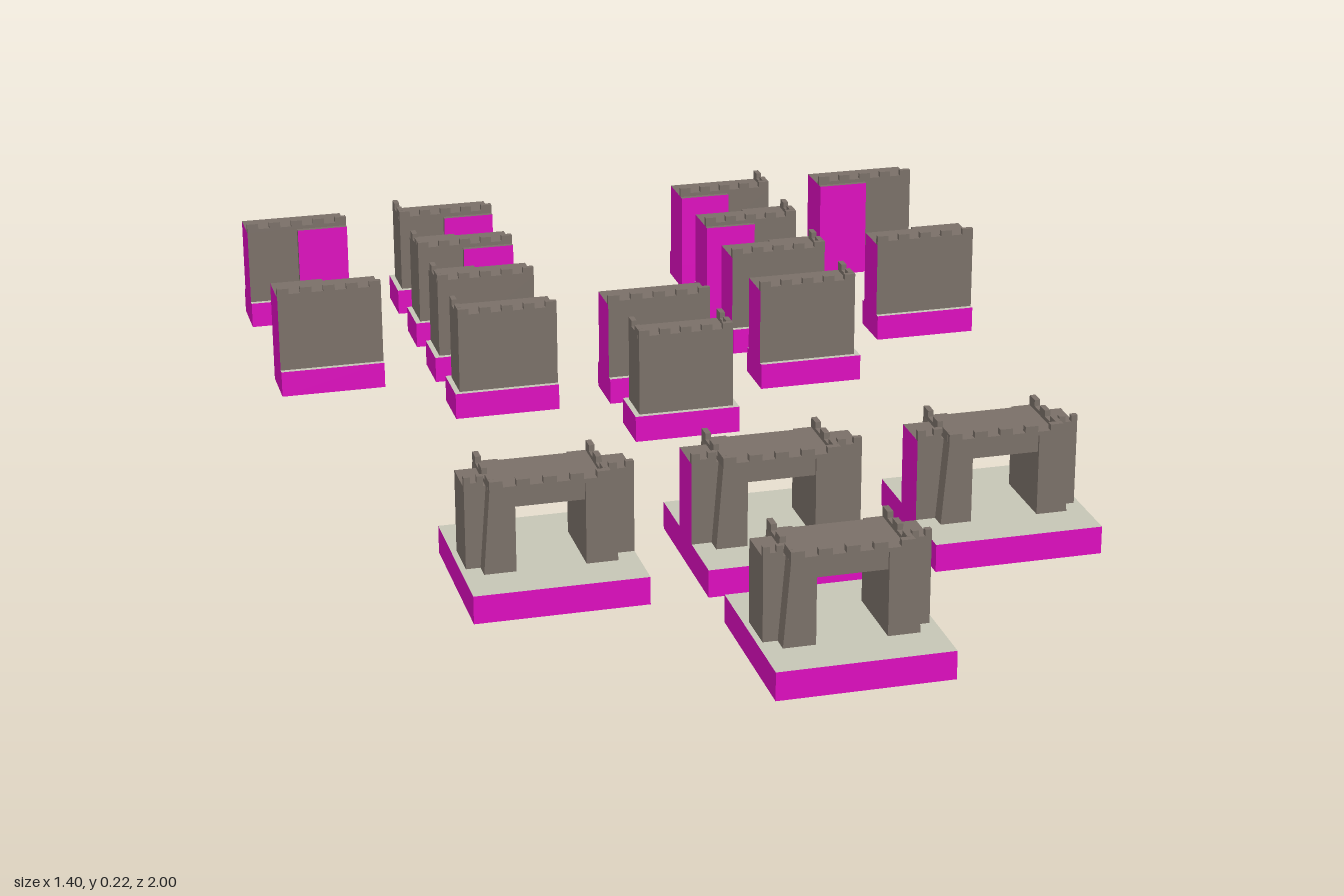
import * as THREE from 'three';

const mat = (name, color) => {
  const m = new THREE.MeshStandardMaterial({ color });
  m.name = name;
  return m;
};

export function createModel() {
  const stone = mat('stone', 0x7a7068);
  const ground = mat('ground', 0xc6c6b6);
  const joint = mat('joint', 0xdc0cbe);
  const root = new THREE.Group();
  root.name = 'castleWallSet';

  const BASE = 0.05, WALK = 0.197, SILL = 0.204, TOP = 0.215;

  // Box given by its limits; faces lists the sides painted as joints (px, nx, pz, nz)
  const SIDES = ['px', 'nx', 'py', 'ny', 'pz', 'nz'];
  function block(parent, name, [x0, x1], [y0, y1], [z0, z1], joints = []) {
    const geo = new THREE.BoxGeometry(x1 - x0, y1 - y0, z1 - z0);
    const mats = joints.length ? SIDES.map(s => (joints.includes(s) ? joint : stone)) : stone;
    const mesh = new THREE.Mesh(geo, mats);
    mesh.name = name;
    mesh.position.set((x0 + x1) / 2, (y0 + y1) / 2, (z0 + z1) / 2);
    parent.add(mesh);
    return mesh;
  }

  // Foundation: pale on top, joint colour on the sides and bottom
  function foundation(parent, w, d) {
    const mesh = new THREE.Mesh(new THREE.BoxGeometry(w, BASE, d),
      [joint, joint, ground, joint, joint, joint]);
    mesh.name = 'foundation';
    mesh.position.y = BASE / 2;
    parent.add(mesh);
  }

  // Thin parapet with merlons, running along x or z
  function parapet(parent, xr, zr, count) {
    block(parent, 'parapet', xr, [WALK, SILL], zr);
    const alongX = xr[1] - xr[0] > zr[1] - zr[0];
    const [a, b] = alongX ? xr : zr;
    const step = (b - a) / (2 * count - 1);
    for (let i = 0; i < count; i++) {
      const r = [a + 2 * i * step, a + (2 * i + 1) * step];
      block(parent, 'merlon', alongX ? r : xr, [SILL, TOP], alongX ? zr : r);
    }
  }

  // Wall piece: l / r ends joined to a neighbour, front / back spurs on a half (-1, 1 or 0)
  function wall(x, z, { l = false, r = false, front = 0, back = 0 }) {
    const g = new THREE.Group();
    g.name = 'wallPiece';
    g.position.set(x, 0, z);
    foundation(g, 0.2, 0.1);
    const x0 = l ? -0.1 : -0.09, x1 = r ? 0.1 : 0.09;
    const ends = [...(l ? ['nx'] : []), ...(r ? ['px'] : [])];
    block(g, 'wallBody', [x0, x1], [BASE, WALK], [-0.04, 0.04], ends);
    const half = s => (s < 0 ? [x0, 0] : [0, x1]);
    const spurEnds = s => ends.filter(e => e === (s < 0 ? 'nx' : 'px'));
    if (front) block(g, 'frontSpur', half(front), [BASE, WALK], [0.04, 0.05], ['pz', ...spurEnds(front)]);
    if (back) block(g, 'backSpur', half(back), [BASE, WALK], [-0.05, -0.04], ['nz', ...spurEnds(back)]);
    parapet(g, [x0, x1], [0.03, 0.04], 5);
    if (!l) parapet(g, [x0, x0 + 0.01], [-0.04, 0.028], 2);
    if (!r) parapet(g, [x1 - 0.01, x1], [-0.04, 0.028], 2);
    root.add(g);
  }

  // Gatehouse on a square foundation
  function gate(x, z, l, r) {
    const g = new THREE.Group();
    g.name = 'gatehouse';
    g.position.set(x, 0, z);
    foundation(g, 0.3, 0.3);
    for (const s of [-1, 1]) {
      const joined = s < 0 ? l : r;
      const end = joined ? 0.15 : 0.14;
      const span = (a, b) => (s < 0 ? [-b, -a] : [a, b]);
      // Side wing
      block(g, 'sideWing', span(0.095, end), [BASE, WALK], [-0.04, 0.04],
        joined ? [s < 0 ? 'nx' : 'px'] : []);
      parapet(g, span(0.107, end), [0.03, 0.04], 2);
      // Door pillar, leaning inwards on its outer side
      const pillar = block(g, 'doorPillar', span(0.06, 0.115), [BASE, WALK], [-0.07, 0.07]);
      const p = pillar.geometry.attributes.position;
      for (let i = 0; i < p.count; i++) {
        if (p.getY(i) > 0 && p.getX(i) * s > 0) p.setX(i, p.getX(i) - s * 0.012);
      }
      pillar.geometry.computeVertexNormals();
      parapet(g, span(0.093, 0.103), [-0.07, 0.057], 3);
    }
    // Lintel over the passage
    block(g, 'lintel', [-0.06, 0.06], [0.165, WALK], [-0.065, 0.065]);
    parapet(g, [-0.103, 0.103], [0.058, 0.07], 5);
    root.add(g);
  }

  // Gates
  gate(0, 0.85, false, false);
  gate(0, 0.45, true, true);
  gate(-0.4, 0.45, false, true);
  gate(0.4, 0.45, true, false);

  // Straight walls
  wall(0, -0.15, {});
  wall(0, -0.35, { l: true, r: true });

  // Mirrored end, corner and branch walls
  for (const s of [-1, 1]) {
    const end = { l: s > 0, r: s < 0 };
    const through = { l: true, r: true };
    wall(0.3 * s, -0.35, end);
    wall(0.3 * s, -0.55, { ...end, back: s });
    wall(0.3 * s, -0.75, { ...end, back: s, front: -s });
    wall(0.3 * s, -0.95, { ...end, front: -s });
    wall(0.6 * s, -0.55, { ...through, back: s });
    wall(0.6 * s, -0.95, { ...through, front: -s });
  }
  return root;
}
